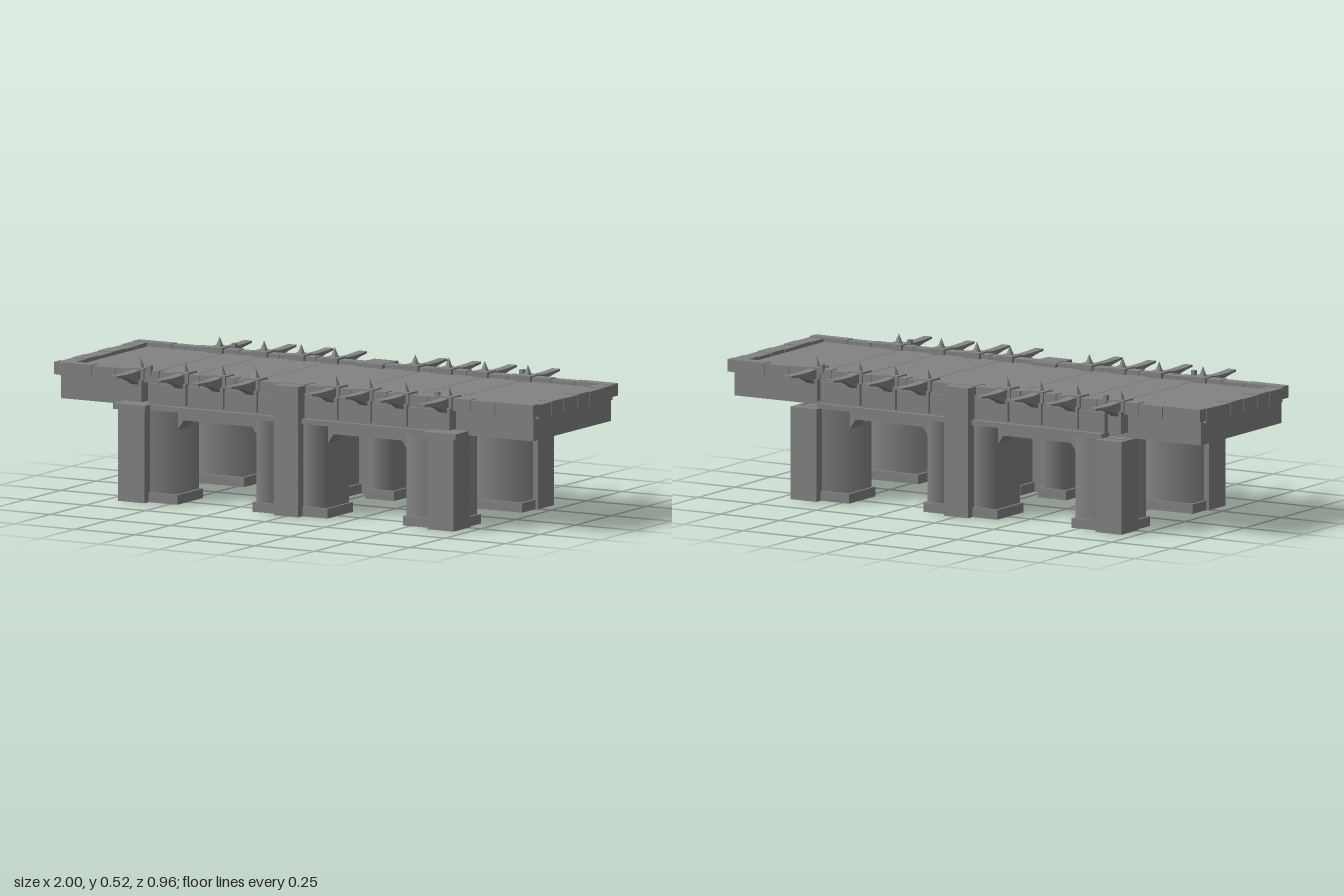
import * as THREE from 'three';

const color = 0x838383;
const stone = new THREE.MeshStandardMaterial({ color });
const flatStone = new THREE.MeshStandardMaterial({ color, flatShading: true, side: THREE.DoubleSide });
const softStone = new THREE.MeshStandardMaterial({ color, side: THREE.DoubleSide });

function add(parent, name, geo, material = stone) {
  const mesh = new THREE.Mesh(geo, material);
  mesh.name = name;
  parent.add(mesh);
  return mesh;
}

// Box given by its limits on each axis
function block(parent, name, x0, x1, y0, y1, z0, z1) {
  const mesh = add(parent, name, new THREE.BoxGeometry(x1 - x0, y1 - y0, z1 - z0));
  mesh.position.set((x0 + x1) / 2, (y0 + y1) / 2, (z0 + z1) / 2);
}

// Square tube, open at both ends, given by its limits on each axis
function tube(parent, name, material, x0, x1, y0, y1, z0, z1) {
  const geo = new THREE.CylinderGeometry(Math.SQRT1_2, Math.SQRT1_2, 1, 4, 1, true);
  geo.rotateY(Math.PI / 4);
  geo.scale(x1 - x0, y1 - y0, z1 - z0);
  add(parent, name, geo, material).position.set((x0 + x1) / 2, (y0 + y1) / 2, (z0 + z1) / 2);
}

// Hollow stack of stone courses with thin joints and a solid top stone
function pillar(parent, name, x, halfWidth, height, courses) {
  const g = new THREE.Group();
  g.name = name;
  const h = height / courses, gap = 0.0015;
  const x0 = x - halfWidth, x1 = x + halfWidth;
  tube(g, 'pillarCore', flatStone, x0 + 0.003, x1 - 0.003, 0, height - 0.01, 0.243, 0.352);
  for (let i = 0; i < courses - 1; i++)
    tube(g, 'stoneCourse', flatStone, x0, x1, i * h, (i + 1) * h - gap, 0.24, 0.355);
  block(g, 'topStone', x0, x1, height - h, height, 0.24, 0.355);
  parent.add(g);
}

// Softly shaded square shaft in a plinth frame, both open underneath
function column(parent, x0, x1) {
  const g = new THREE.Group();
  g.name = 'column';
  tube(g, 'columnShaft', softStone, x0, x1, 0, 0.34, 0.155, 0.315);
  const rect = (path, m) => path.moveTo(x0 - m, -0.155 + m).lineTo(x1 + m, -0.155 + m)
    .lineTo(x1 + m, -0.315 - m).lineTo(x0 - m, -0.315 - m).closePath();
  const frame = new THREE.Shape();
  const hole = new THREE.Path();
  rect(frame, 0.01);
  rect(hole, 0);
  frame.holes.push(hole);
  const geo = new THREE.ExtrudeGeometry(frame, { depth: 0.035, bevelEnabled: false });
  geo.rotateX(-Math.PI / 2);
  add(g, 'columnPlinth', geo);
  parent.add(g);
}

// Lintel with cut corners over the opening between two columns
function lintelGeometry() {
  const s = new THREE.Shape([[0.14, 0.34], [0.14, 0.262], [0.17, 0.305], [0.455, 0.305], [0.485, 0.262], [0.485, 0.34]]
    .map(([x, y]) => new THREE.Vector2(x, y)));
  return new THREE.ExtrudeGeometry(s, { depth: 0.08, bevelEnabled: false });
}

// Curved horn that juts outward, nearly flat on top
function hornGeometry() {
  const s = new THREE.Shape();
  s.moveTo(0.29, 0.476);
  s.lineTo(0.32, 0.474);
  s.quadraticCurveTo(0.38, 0.468, 0.48, 0.475);
  s.lineTo(0.48, 0.467);
  s.quadraticCurveTo(0.37, 0.458, 0.32, 0.422);
  s.lineTo(0.29, 0.405);
  const geo = new THREE.ExtrudeGeometry(s, { depth: 0.034, bevelEnabled: false, curveSegments: 8 });
  geo.translate(0, 0, -0.017);
  geo.rotateY(-Math.PI / 2);
  return geo;
}

function hornMount(x) {
  const g = new THREE.Group();
  g.name = 'hornMount';
  block(g, 'mountPost', -0.028, 0.028, 0.36, 0.44, 0.265, 0.322);
  block(g, 'mountHead', -0.03, 0.03, 0.435, 0.48, 0.245, 0.31);
  add(g, 'horn', hornGeometry());
  add(g, 'spike', new THREE.ConeGeometry(0.016, 0.04, 10), flatStone).position.set(0, 0.496, 0.28);
  g.position.x = x;
  return g;
}

// Row of edge stones split at the joints
function edgeStones(joints, place) {
  for (let i = 0; i < joints.length - 1; i++)
    place(joints[i] + 0.0012, joints[i + 1] - 0.0012, i % 2 ? 0.473 : 0.475);
}

export function createModel() {
  const root = new THREE.Group();
  root.name = 'bridge';

  // Deck body and paved floor
  const deck = new THREE.Group();
  deck.name = 'deck';
  root.add(deck);
  block(deck, 'deckBody', -0.985, 0.985, 0.34, 0.43, -0.275, 0.275);
  block(deck, 'floorBed', -0.99, 0.99, 0.43, 0.456, -0.292, 0.292);
  edgeStones([-0.945, -0.62, -0.46, -0.2, 0.2, 0.46, 0.62, 0.945], (a, b) =>
    block(deck, 'floorSlab', a, b, 0.45, 0.459, -0.262, 0.262));

  // Stone rim round the deck
  const longJoints = [-1, -0.84, -0.74, -0.56, -0.39, -0.24, -0.05, 0.05, 0.24, 0.39, 0.56, 0.74, 0.84, 1];
  const endJoints = [-0.26, -0.185, -0.095, -0.01, 0.085, 0.17, 0.26];
  for (const s of [-1, 1]) {
    edgeStones(longJoints, (a, b, top) =>
      block(deck, 'sideRimStone', a, b, 0.43, top, s * 0.281 - 0.021, s * 0.281 + 0.021));
    edgeStones(endJoints, (a, b, top) =>
      block(deck, 'endRimStone', s * 0.97 - 0.03, s * 0.97 + 0.03, 0.42, top - 0.002, a, b));
  }

  // Each long side: pillars, columns, arches, wall and horns
  const hornX = [-0.65, -0.465, -0.31, -0.17, 0.165, 0.305, 0.455, 0.635];
  for (const front of [true, false]) {
    const side = new THREE.Group();
    side.name = front ? 'frontSide' : 'backSide';
    if (!front) side.rotation.y = Math.PI;
    root.add(side);

    pillar(side, 'centrePillar', 0, 0.051, 0.473, 7);
    for (const s of [-1, 1]) {
      pillar(side, 'outerPillar', s * 0.645, 0.055, 0.338, 5);
      if (front) block(side, 'pillarCap', s * 0.648 - 0.067, s * 0.648 + 0.067, 0.335, 0.356, 0.235, 0.366);
      for (const [a, b] of [[0.48, 0.68], [0.046, 0.146]])
        column(side, Math.min(s * a, s * b), Math.max(s * a, s * b));
      const lintel = add(side, 'archLintel', lintelGeometry());
      lintel.position.set(s < 0 ? -0.625 : 0, 0, 0.225);
      block(side, 'cornice', s * 0.325 - 0.275, s * 0.325 + 0.275, 0.336, 0.354, 0.225, 0.33);
      block(side, 'sideWall', s * 0.325 - 0.275, s * 0.325 + 0.275, 0.354, 0.43, 0.26, 0.31);
      block(side, 'rimPeg', s * 0.6 - 0.008, s * 0.6 + 0.008, 0.46, 0.493, 0.291, 0.308);
    }
    for (const x of hornX) side.add(hornMount(front ? x : -x));
  }
  return root;
}
